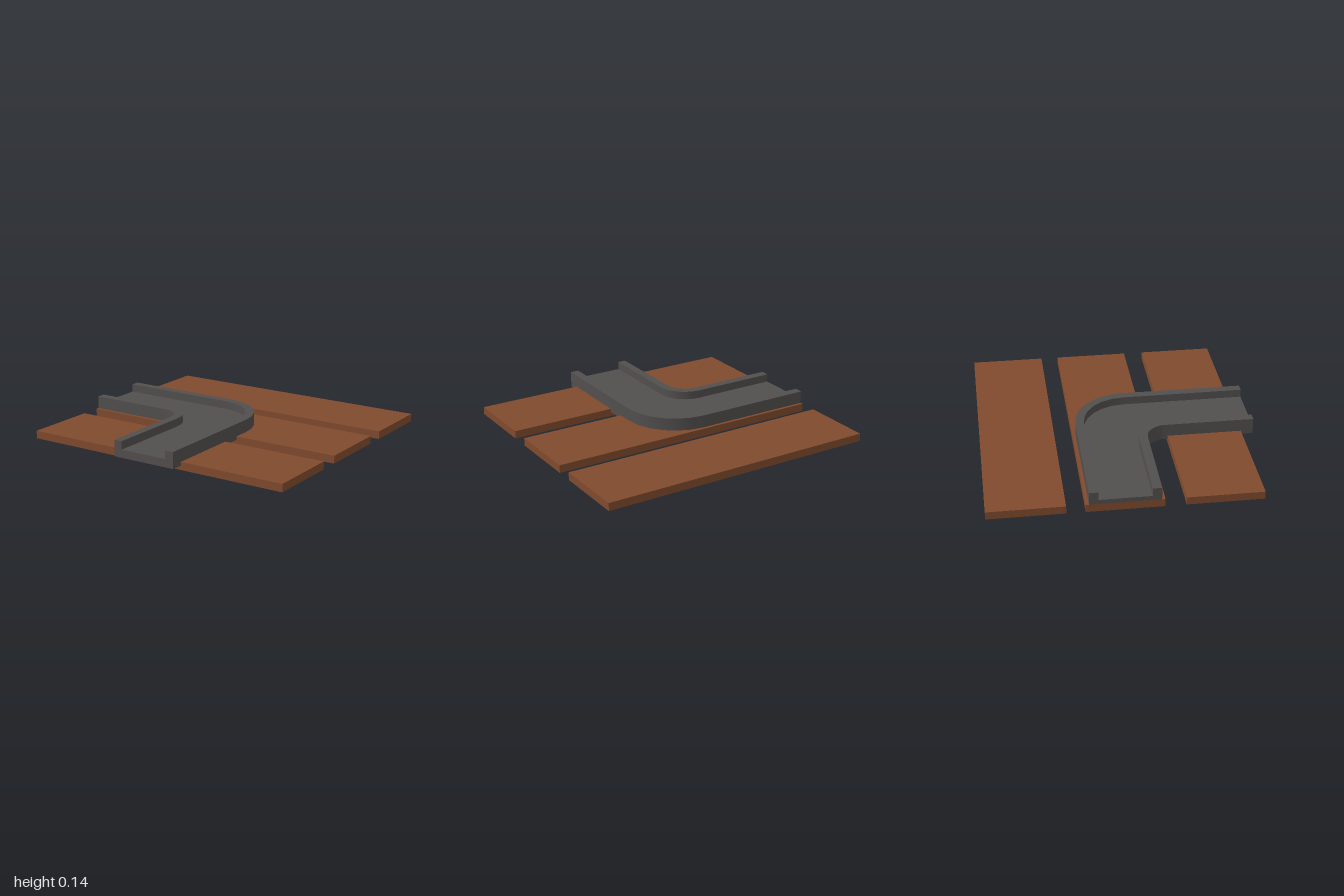
import * as THREE from 'three';
import { toCreasedNormals } from 'three/addons/utils/BufferGeometryUtils.js';

const wood = new THREE.MeshStandardMaterial({ name: 'brownWood', color: 0x804a2d });
const stone = new THREE.MeshStandardMaterial({ name: 'darkGrey', color: 0x524f4e });

// One edge line of the bend: runs along x at z = back, rounds a corner, then runs along z at x = side
function edge(back, side, radius, steps = 6) {
  const points = [new THREE.Vector2(-1, -back)];
  for (let i = 0; i <= steps; i++) {
    const a = (Math.PI / 2) * (1 - i / steps);
    points.push(new THREE.Vector2(
      side - radius + radius * Math.cos(a),
      -(back + radius) + radius * Math.sin(a)));
  }
  points.push(new THREE.Vector2(side, -0.955));
  return points;
}

// Solid strip between two edge lines
function strip(name, from, to, bottom, top) {
  const shape = new THREE.Shape([...from, ...to.slice().reverse()]);
  const geometry = new THREE.ExtrudeGeometry(shape, { depth: top - bottom, bevelEnabled: false });
  geometry.rotateX(-Math.PI / 2).translate(0, bottom, 0);
  const mesh = new THREE.Mesh(toCreasedNormals(geometry, Math.PI / 6), stone);
  mesh.name = name;
  return mesh;
}

export function createModel() {
  const model = new THREE.Group();
  model.name = 'curvedChannelOnPlanks';

  // Three boards lying side by side
  const boards = [
    ['backPlank', -0.955, -0.435],
    ['middlePlank', -0.31, 0.21],
    ['frontPlank', 0.35, 0.87],
  ];
  for (const [name, z0, z1] of boards) {
    const plank = new THREE.Mesh(new THREE.BoxGeometry(2, 0.055, z1 - z0), wood);
    plank.position.set(0, 0.0275, (z0 + z1) / 2);
    plank.name = name;
    model.add(plank);
  }

  // Bent channel: a floor with a raised lip on each side
  const outerOut = edge(-0.288, 0.235, 0.38);
  const outerIn = edge(-0.226, 0.173, 0.318);
  const innerIn = edge(0.125, -0.18, 0.2);
  const innerOut = edge(0.187, -0.24, 0.14);
  const channel = new THREE.Group();
  channel.name = 'channel';
  channel.add(
    strip('outerLip', outerOut, outerIn, 0.03, 0.145),
    strip('channelFloor', outerIn, innerIn, 0.03, 0.087),
    strip('innerLip', innerIn, innerOut, 0.03, 0.145));
  model.add(channel);

  return model;
}
